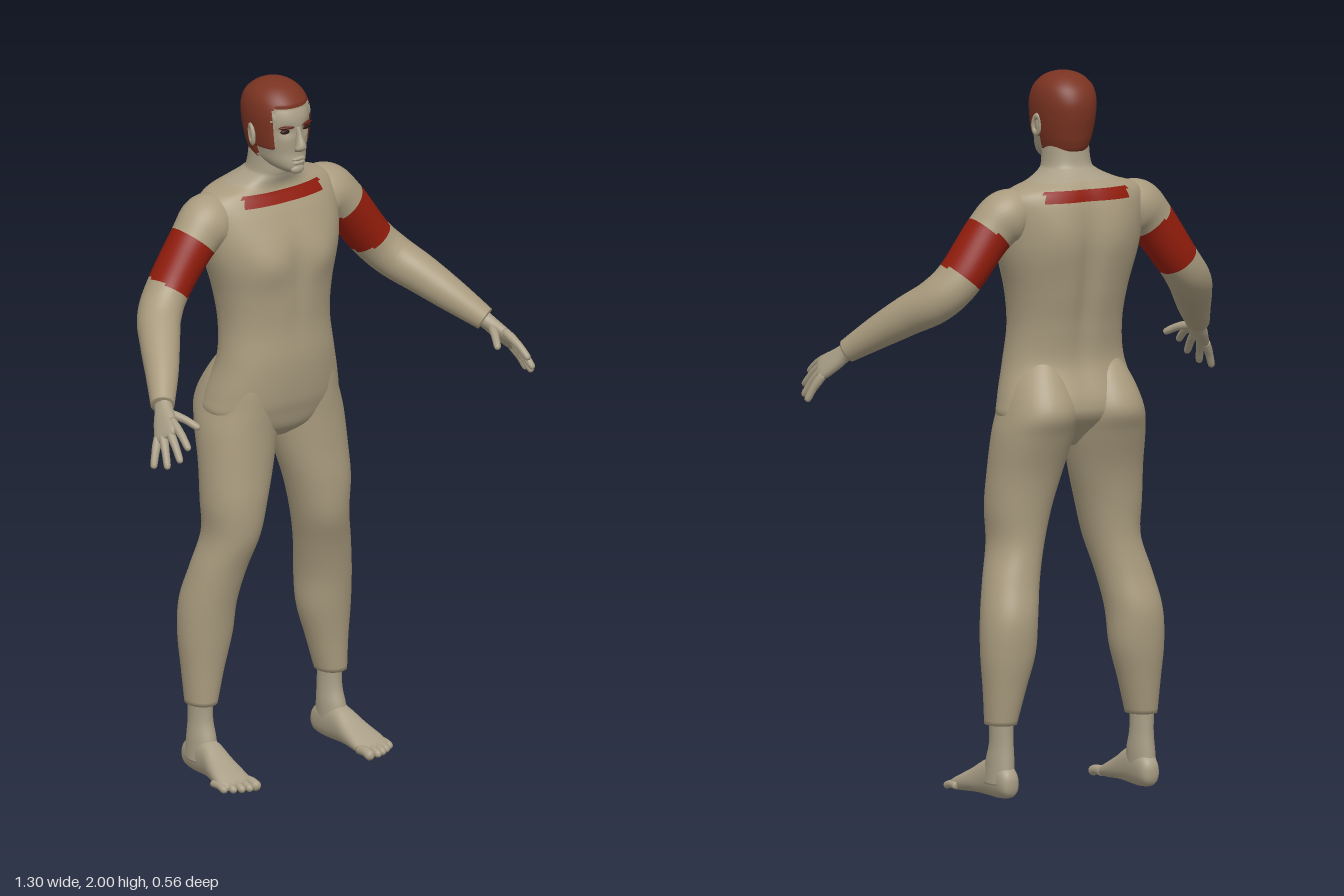
import * as THREE from 'three';

const V = (x, y, z) => new THREE.Vector3(x, y, z);
const mat = (name, color) => Object.assign(new THREE.MeshStandardMaterial({ color }), { name });
const gauss = (d, w) => Math.exp(-(d * d) / (w * w));

// Catmull-Rom blend of every number in a list of cross-section keys
function sample(keys, t) {
  const f = t * (keys.length - 1), i = Math.min(Math.floor(f), keys.length - 2), s = f - i;
  const k = (n) => keys[Math.max(0, Math.min(keys.length - 1, n))];
  return keys[i].map((_, c) => {
    const a = k(i - 1)[c], b = k(i)[c], d = k(i + 1)[c], e = k(i + 2)[c];
    return b + 0.5 * s * (d - a + s * (2 * a - 5 * b + 4 * d - e + s * (3 * (b - d) + e - a)));
  });
}

// Closed smooth skin over keys [x, y, z, radiusU, radiusV]; paint() picks a material per face
function loft(keys, { ref = V(1, 0, 0), axis, rows = 24, seg = 24, n = 2, deform, paint } = {}) {
  const pts = [], faces = [[], [], []];
  const pos = (t) => V(...sample(keys, t).slice(0, 3));
  const sp = (c) => Math.sign(c) * Math.abs(c) ** (2 / n);
  for (let i = 0; i <= rows; i++) {
    const t = i / rows, k = sample(keys, t), c = pos(t);
    const T = axis || pos(Math.min(1, t + 0.01)).sub(pos(Math.max(0, t - 0.01))).normalize();
    const u = ref.clone().addScaledVector(T, -ref.dot(T)).normalize(), v = T.clone().cross(u);
    for (let j = 0; j < seg; j++) {
      const a = (j / seg) * Math.PI * 2;
      const p = c.clone().addScaledVector(u, k[3] * sp(Math.cos(a))).addScaledVector(v, k[4] * sp(Math.sin(a)));
      if (deform) deform(p);
      pts.push(p);
    }
  }
  const end = pts.length;
  pts.push(pos(0), pos(1));
  const face = (a, b, c, mid) => faces[paint ? paint(mid) : 0].push(a, b, c);
  for (let j = 0; j < seg; j++) {
    const j2 = (j + 1) % seg, last = rows * seg;
    face(end, j2, j, pts[j]);
    for (let i = 0; i < rows; i++) {
      const a = i * seg + j, b = i * seg + j2, c = a + seg, d = b + seg;
      const mid = pts[a].clone().add(pts[d]).multiplyScalar(0.5);
      face(a, b, d, mid);
      face(a, d, c, mid);
    }
    face(end + 1, last + j, last + j2, pts[last + j]);
  }
  const g = new THREE.BufferGeometry().setFromPoints(pts);
  g.setIndex(faces.flat());
  let start = 0;
  if (paint) faces.forEach((f, m) => { if (f.length) g.addGroup(start, f.length, m); start += f.length; });
  g.computeVertexNormals();
  return g;
}

// Horizontal cross-section from its x and z limits
const slice = (y, x0, x1, z0, z1) => [(x0 + x1) / 2, y, (z0 + z1) / 2, (x1 - x0) / 2, (z1 - z0) / 2];
const level = (y, hw, z0, z1) => slice(y, -hw, hw, z0, z1);

function mirrored(geo) {
  const g = geo.clone().scale(-1, 1, 1), ix = g.index.array;
  for (let i = 0; i < ix.length; i += 3) [ix[i], ix[i + 1]] = [ix[i + 1], ix[i]];
  g.computeVertexNormals();
  return g;
}

export function createModel() {
  const model = new THREE.Group();
  const suit = mat('suit', 0xa99b7e), skin = mat('skin', 0xa99e86), red = mat('red trim', 0x901c0c);
  const hair = mat('hair', 0x7a3321), dark = mat('eye', 0x2c1511), brow = mat('brow', 0x5e2016);
  const up = V(0, 1, 0);
  const add = (name, geo, m) => {
    const mesh = new THREE.Mesh(geo, m);
    mesh.name = name;
    model.add(mesh);
  };
  const pair = (name, geo, m) => {
    add('left ' + name, geo, m);
    add('right ' + name, mirrored(geo), m);
  };
  const blob = (x, y, z, rx, ry, rz) => new THREE.SphereGeometry(1, 20, 14).scale(rx, ry, rz).translate(x, y, z);

  // Torso and neck, with chest, spine and shoulder-blade relief
  add('torso', loft([
    level(0.965, 0.04, -0.16, -0.07), level(1.0, 0.14, -0.2, -0.03), level(1.05, 0.207, -0.25, -0.012),
    level(1.1, 0.205, -0.255, 0), level(1.2, 0.178, -0.222, 0.008), level(1.3, 0.167, -0.23, 0.003),
    level(1.4, 0.178, -0.25, 0.006), level(1.5, 0.205, -0.265, 0.005), level(1.56, 0.215, -0.268, -0.005),
    level(1.62, 0.22, -0.263, -0.03), level(1.66, 0.215, -0.255, -0.052), level(1.685, 0.19, -0.245, -0.066),
    level(1.705, 0.13, -0.23, -0.068), level(1.73, 0.08, -0.205, -0.06), level(1.755, 0.066, -0.19, -0.055),
    level(1.84, 0.062, -0.18, -0.055),
  ], {
    axis: up, rows: 110, seg: 80, n: 2.2,
    deform: (p) => {
      const side = Math.abs(p.x);
      if (p.z > -0.11) {
        p.z += 0.014 * gauss(side - 0.09, 0.06) * gauss(p.y - 1.49, 0.06);
        p.z -= 0.006 * gauss(side, 0.02) * gauss(p.y - 1.45, 0.15);
      } else {
        p.z += 0.016 * gauss(side, 0.03) * gauss(p.y - 1.42, 0.22);
        p.z -= 0.01 * gauss(side - 0.09, 0.06) * gauss(p.y - 1.56, 0.1);
      }
    },
    paint: (p) => p.y > 1.705 ? 1 : (Math.abs(p.x) < 0.13 && p.y > 1.655 && p.y < 1.685 ? 2 : 0),
  }), [suit, skin, red]);

  // Legs down to the trouser hem
  pair('leg', loft([
    slice(0.205, 0.18, 0.265, -0.2, -0.1), slice(0.3, 0.155, 0.272, -0.215, -0.095),
    slice(0.4, 0.127, 0.28, -0.23, -0.085), slice(0.5, 0.118, 0.276, -0.233, -0.072),
    slice(0.6, 0.1, 0.256, -0.21, -0.05), slice(0.7, 0.075, 0.23, -0.195, -0.02),
    slice(0.8, 0.05, 0.235, -0.2, -0.013), slice(0.9, 0.022, 0.232, -0.217, -0.018),
    slice(1.0, 0.002, 0.225, -0.252, -0.02), slice(1.07, 0.002, 0.208, -0.276, -0.018),
    slice(1.15, 0.02, 0.182, -0.24, -0.02), slice(1.22, 0.05, 0.14, -0.19, -0.05),
  ], { axis: up, rows: 60, seg: 40, n: 2.1 }), suit);

  // Ankles, feet and toes
  pair('ankle', loft([
    slice(0.04, 0.19, 0.262, -0.205, -0.085), slice(0.1, 0.188, 0.258, -0.2, -0.095),
    slice(0.16, 0.191, 0.253, -0.195, -0.112), slice(0.25, 0.192, 0.256, -0.195, -0.112),
  ], { axis: up }), skin);
  const footSlice = (z, x, hw, y0, y1) => [x, (y0 + y1) / 2, z, hw, (y1 - y0) / 2];
  pair('foot', loft([
    footSlice(-0.216, 0.222, 0.006, 0.035, 0.055), footSlice(-0.205, 0.222, 0.026, 0.008, 0.08),
    footSlice(-0.16, 0.223, 0.034, 0, 0.11), footSlice(-0.1, 0.225, 0.037, 0.002, 0.105),
    footSlice(-0.05, 0.23, 0.045, 0.004, 0.077), footSlice(0, 0.235, 0.052, 0.002, 0.052),
    footSlice(0.03, 0.236, 0.051, 0.003, 0.036), footSlice(0.045, 0.236, 0.042, 0.01, 0.026),
  ], { axis: V(0, 0, 1), n: 2.3 }), skin);
  for (let i = 0; i < 5; i++) {
    const r = i ? 0.0105 : 0.014, x = i ? 0.2 + i * 0.021 : 0.196, tip = [0.078, 0.08, 0.073, 0.062, 0.047][i];
    pair('toe ' + (i + 1), loft([
      [x, 0.02, tip - 0.06, r, r], [x, 0.021, tip - 0.03, r, r], [x, 0.015, tip - 0.008, r, r], [x, 0.013, tip, r * 0.3, r * 0.3],
    ], { rows: 12, seg: 12 }), skin);
  }

  // Arms with a red band on the upper sleeve
  pair('arm', loft([
    [0.12, 1.605, -0.15, 0.05, 0.055], [0.195, 1.612, -0.148, 0.074, 0.08], [0.255, 1.57, -0.142, 0.068, 0.068],
    [0.345, 1.452, -0.137, 0.068, 0.06], [0.4, 1.39, -0.105, 0.064, 0.06], [0.45, 1.342, -0.035, 0.056, 0.055],
    [0.5, 1.29, 0.04, 0.046, 0.046], [0.555, 1.232, 0.116, 0.033, 0.033],
  ], {
    ref: V(0, 0.5, 1), rows: 90, seg: 36,
    paint: (p) => {
      const d = (p.x - 0.255) * 0.6 - (p.y - 1.57) * 0.8;
      return d > 0 && d < 0.148 && p.z < -0.05 ? 1 : 0;
    },
  }), [suit, red]);

  // Hands: palm, four fingers and a thumb
  const across = V(-0.032, 0.05, 0.035).normalize();
  pair('palm', loft([
    [0.545, 1.242, 0.102, 0.025, 0.024], [0.558, 1.225, 0.125, 0.027, 0.021], [0.575, 1.202, 0.152, 0.036, 0.019],
    [0.595, 1.177, 0.184, 0.04, 0.015], [0.602, 1.168, 0.196, 0.03, 0.008],
  ], { ref: across, n: 2.3 }), skin);
  const fingers = {
    'index finger': [[0.574, 1.204, 0.193], [0.585, 1.155, 0.277]],
    'middle finger': [[0.589, 1.184, 0.193], [0.607, 1.12, 0.268]],
    'ring finger': [[0.602, 1.167, 0.182], [0.627, 1.096, 0.235]],
    'little finger': [[0.611, 1.152, 0.166], [0.642, 1.088, 0.19]],
    thumb: [[0.557, 1.217, 0.145], [0.513, 1.188, 0.23]],
  };
  for (const [name, [a, b]] of Object.entries(fingers)) {
    const key = (t, r, lift) => [...a.map((c, i) => c + (b[i] - c) * t + (i === 1 ? lift : 0)), r, r];
    pair(name, loft([
      key(-0.15, 0.012, 0), key(0.2, 0.0125, 0.004), key(0.55, 0.011, 0.006), key(0.92, 0.0095, 0.001), key(1, 0.003, 0),
    ], { ref: across, rows: 14, seg: 12 }), skin);
  }

  // Head with a short cap of hair, thickened where it is painted
  const isHair = (p) => p.y > (p.z > -0.035 ? 1.944 : p.z > -0.1 ? 1.825 : 1.785);
  add('head', loft([
    level(1.752, 0.02, -0.07, -0.012), level(1.766, 0.043, -0.14, 0), level(1.785, 0.058, -0.18, 0.001),
    level(1.81, 0.066, -0.193, -0.003), level(1.84, 0.073, -0.2, -0.002), level(1.88, 0.078, -0.208, 0.001),
    level(1.92, 0.08, -0.209, -0.003), level(1.955, 0.073, -0.195, -0.022), level(1.98, 0.052, -0.168, -0.05),
    level(1.992, 0.026, -0.14, -0.08), level(1.995, 0.003, -0.113, -0.107),
  ], {
    axis: up, rows: 70, seg: 80, n: 2.15,
    deform: (p) => {
      if (p.z > -0.06) p.z -= 0.009 * gauss(Math.abs(p.x) - 0.033, 0.02) * gauss(p.y - 1.876, 0.016);
      if (isHair(p)) p.add(p.clone().sub(V(0, 1.89, -0.105)).normalize().multiplyScalar(0.005));
    },
    paint: (p) => isHair(p) ? 1 : 0,
  }), [skin, hair]);

  // Face
  add('nose', loft([
    [0, 1.818, 0.002, 0.012, 0.008], [0, 1.828, 0.009, 0.018, 0.015], [0, 1.842, 0.009, 0.013, 0.016],
    [0, 1.865, 0.001, 0.008, 0.012], [0, 1.888, -0.004, 0.008, 0.008],
  ], { axis: up, rows: 20, seg: 20 }), skin);
  add('upper lip', blob(0, 1.796, 0.001, 0.023, 0.006, 0.008), skin);
  add('lower lip', blob(0, 1.785, 0.001, 0.02, 0.006, 0.008), skin);
  add('chin', blob(0, 1.764, -0.006, 0.022, 0.014, 0.012), skin);
  pair('eye', blob(0.033, 1.877, -0.016, 0.017, 0.007, 0.008), dark);
  pair('brow', blob(0, 0, 0, 0.023, 0.0045, 0.006).rotateY(0.35).translate(0.035, 1.89, -0.009), brow);
  pair('ear', new THREE.TorusGeometry(0.017, 0.006, 10, 20).scale(0.8, 1.45, 1)
    .rotateY(Math.PI / 2 + 0.3).rotateX(-0.15).translate(0.082, 1.855, -0.105), skin);
  pair('inner ear', blob(0.077, 1.852, -0.105, 0.007, 0.024, 0.014), skin);

  return model;
}
